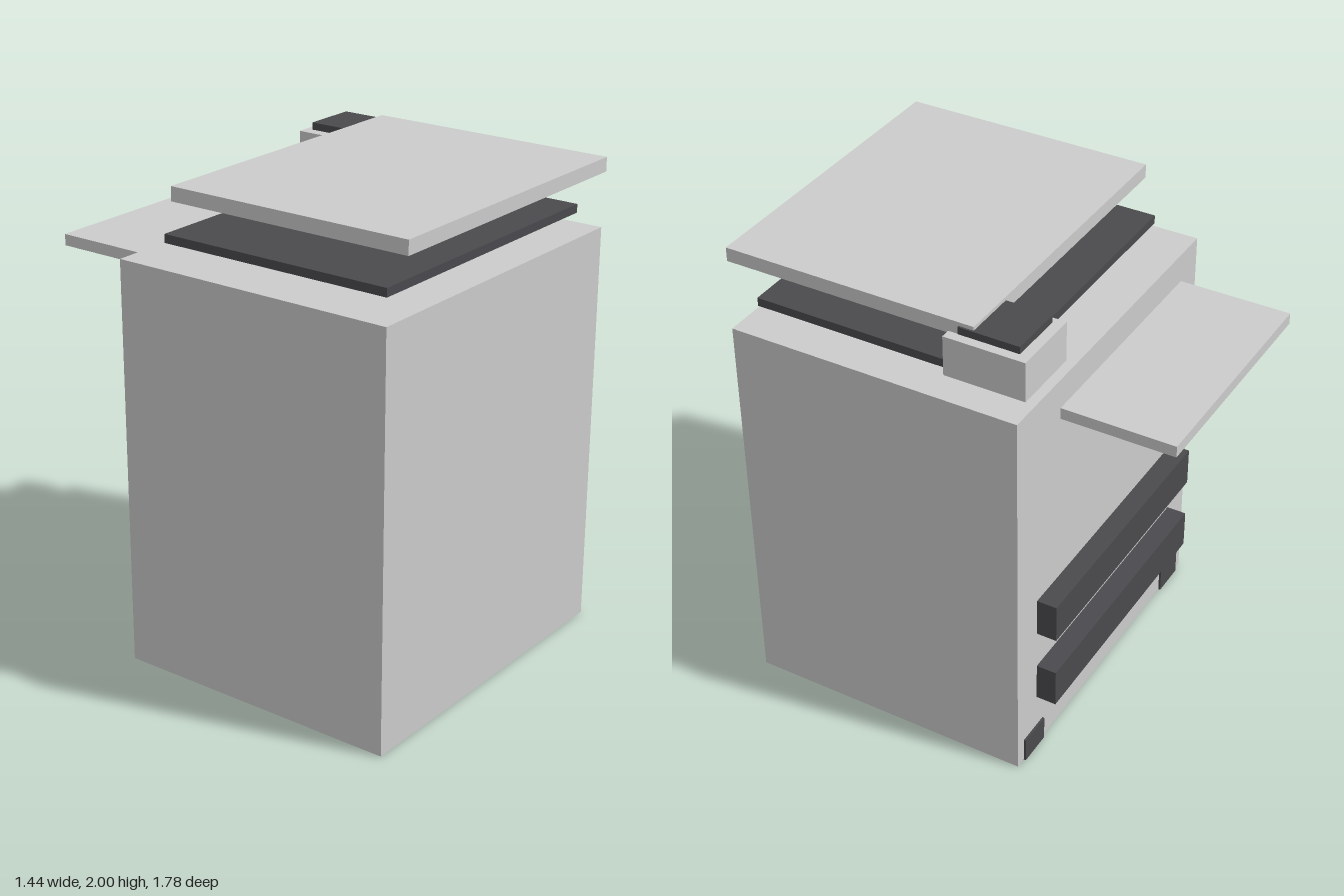
import * as THREE from 'three';

const grey = new THREE.MeshStandardMaterial({ color: 0xcccccc, flatShading: true });
const dark = new THREE.MeshStandardMaterial({ color: 0x4a4a4e, flatShading: true });

// Box given by its [min, max] range on each axis
function addBox(group, name, material, [x0, x1], [y0, y1], [z0, z1]) {
  const mesh = new THREE.Mesh(new THREE.BoxGeometry(x1 - x0, y1 - y0, z1 - z0), material);
  mesh.position.set((x0 + x1) / 2, (y0 + y1) / 2, (z0 + z1) / 2);
  mesh.name = name;
  group.add(mesh);
}

export function createModel() {
  const model = new THREE.Group();
  model.name = 'officePrinter';

  // Main cabinet
  addBox(model, 'body', grey, [-0.72, 0.72], [0.002, 1.695], [-0.38, 0.845]);

  // Scanner: dark glass bed under a raised lid
  addBox(model, 'scannerBed', dark, [-0.635, 0.63], [1.765, 1.8], [-0.23, 0.785]);
  addBox(model, 'scannerLid', grey, [-0.66, 0.655], [1.942, 2], [-0.17, 0.89]);

  // Control block with its screen
  addBox(model, 'controlPanel', grey, [0.4, 0.695], [1.785, 1.95], [-0.4, -0.065]);
  addBox(model, 'controlScreen', dark, [0.432, 0.663], [1.955, 1.985], [-0.36, -0.108]);

  // Output tray with a dark pad beneath
  addBox(model, 'outputTray', grey, [-0.488, 0.485], [1.59, 1.637], [-0.89, -0.425]);
  addBox(model, 'outputTrayPad', dark, [-0.445, 0.442], [1.574, 1.59], [-0.845, -0.465]);

  // Paper drawers
  for (const y of [0.26, 0.597])
    addBox(model, 'paperDrawer', dark, [-0.573, 0.57], [y, y + 0.167], [-0.465, -0.3]);

  // Four corner feet, the rear pair just proud of the cabinet
  for (const x of [-0.597, 0.597])
    for (const z of [-0.314, 0.705])
      addBox(model, 'foot', dark, [x - 0.075, x + 0.075], [0, 0.108], [z - 0.075, z + 0.075]);

  return model;
}
